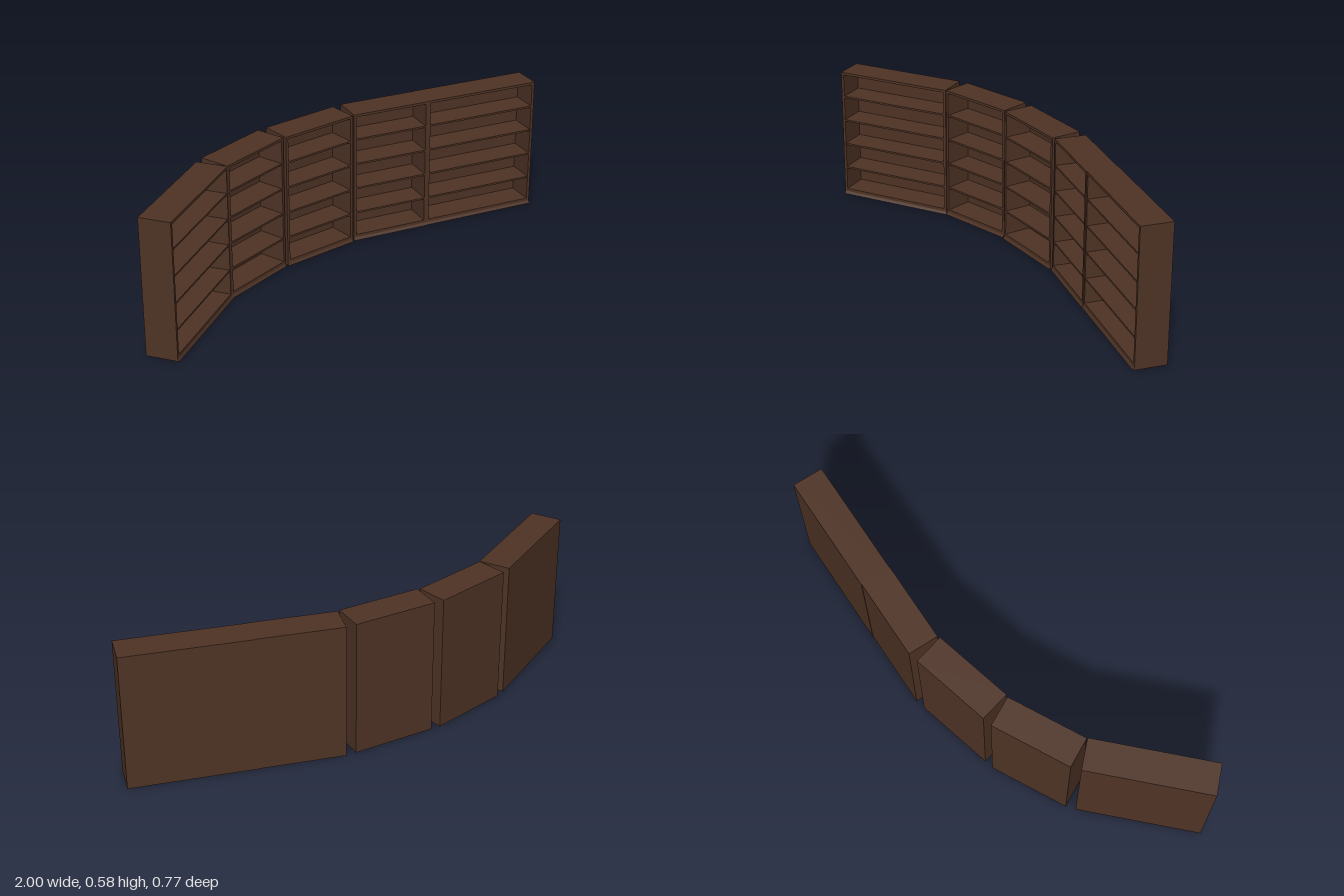
import * as THREE from 'three';

const HEIGHT = 0.583, DEPTH = 0.132, SIDE = 0.012, BACK = 0.012;
const PLINTH = 0.025, TOP = 0.011, SHELF = 0.008;
const wood = new THREE.MeshStandardMaterial({ color: 0x4f3325 });

function board(parent, name, w, h, d, x, bottom, z) {
  const mesh = new THREE.Mesh(new THREE.BoxGeometry(w, h, d), wood);
  mesh.name = name;
  mesh.position.set(x, bottom + h / 2, z);
  parent.add(mesh);
}

// One open bookcase; its origin is the middle of the front edge on the floor
function createBookcase(width) {
  const g = new THREE.Group();
  const inner = width - 2 * SIDE, mid = -DEPTH / 2;

  for (const s of [-1, 1])
    board(g, s < 0 ? 'rightSide' : 'leftSide', SIDE, HEIGHT, DEPTH, s * (width - SIDE) / 2, 0, mid);
  board(g, 'topBoard', inner, TOP, DEPTH, 0, HEIGHT - TOP, mid);
  board(g, 'plinth', inner, PLINTH, DEPTH, 0, 0, mid);
  board(g, 'backPanel', inner, HEIGHT - TOP - PLINTH, BACK, 0, PLINTH, -DEPTH + BACK / 2);

  // Four shelves, set back slightly from the front edge
  const shelfDepth = DEPTH - BACK - 0.002;
  for (const y of [0.125, 0.239, 0.352, 0.464])
    board(g, 'shelf', inner, SHELF, shelfDepth, 0, y, -0.002 - shelfDepth / 2);

  // Small sloped moulding along the foot of the front
  const profile = new THREE.Shape([[0, 0], [0.006, 0], [0, 0.012]].map(p => new THREE.Vector2(...p)));
  const foot = new THREE.ExtrudeGeometry(profile, { depth: width, bevelEnabled: false });
  foot.translate(0, 0, -width / 2).rotateY(-Math.PI / 2);
  const moulding = new THREE.Mesh(foot, wood);
  moulding.name = 'footMoulding';
  g.add(moulding);
  return g;
}

export function createModel() {
  const model = new THREE.Group();
  model.name = 'curvedBookcaseRow';

  // Front edge of each case from its right end to its left end: x1, z1, x2, z2
  const cases = [
    [-0.906, 0.376, -0.54, 0.005],
    [-0.54, 0.002, -0.234, -0.16],
    [-0.224, -0.158, 0.116, -0.245],
    [0.125, -0.251, 0.475, -0.251],
    [0.475, -0.253, 0.997, -0.253],
  ];
  cases.forEach(([x1, z1, x2, z2], i) => {
    const bookcase = createBookcase(Math.hypot(x2 - x1, z2 - z1));
    bookcase.name = `bookcase${i + 1}`;
    bookcase.position.set((x1 + x2) / 2, 0, (z1 + z2) / 2);
    bookcase.rotation.y = Math.atan2(z1 - z2, x2 - x1);
    model.add(bookcase);
  });
  return model;
}
